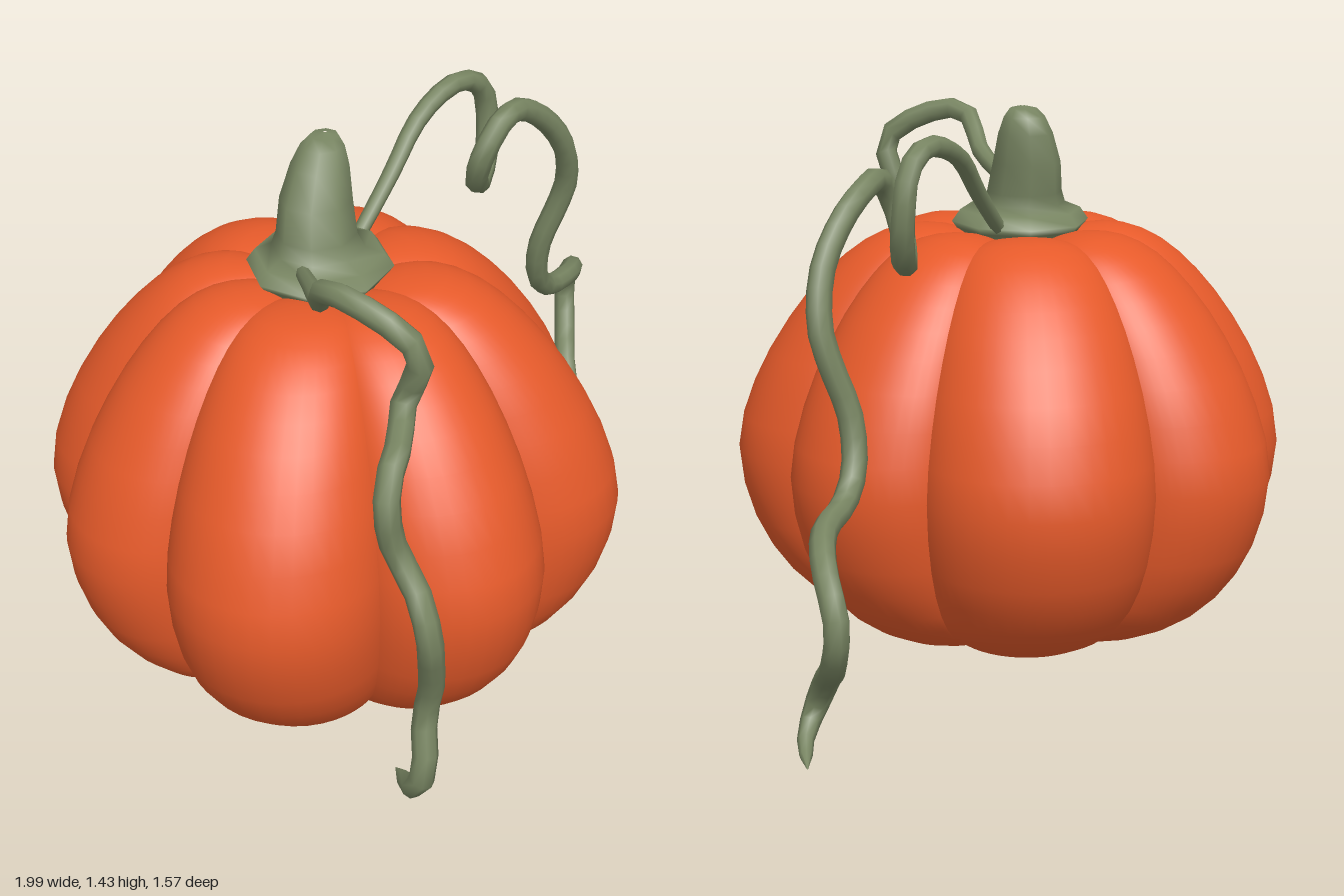
import * as THREE from 'three';
import { ParametricGeometry } from 'three/addons/geometries/ParametricGeometry.js';

const CX = -0.29, CZ = -0.05; // pumpkin axis
const skin = new THREE.MeshStandardMaterial({ color: 0xe65a2a });
const green = new THREE.MeshStandardMaterial({ color: 0x788562 });

function addMesh(parent, name, geometry, material) {
  const mesh = new THREE.Mesh(geometry, material);
  mesh.name = name;
  parent.add(mesh);
}

// Middle profile of a lobe, radius and height, from top to bottom
const profile = new THREE.SplineCurve([
  [0.005, 1.06], [0.1, 1.09], [0.2, 1.112], [0.3, 1.107], [0.4, 1.065], [0.5, 0.98], [0.6, 0.855],
  [0.69, 0.69], [0.735, 0.51], [0.695, 0.32], [0.605, 0.175], [0.485, 0.08], [0.335, 0.022],
  [0.2, 0.005], [0.13, 0.03], [0.09, 0.1], [0.005, 0.14],
].map(([r, y]) => new THREE.Vector2(r, y)));

// One lobe between two creases: round in plan, sinking towards the creases
function lobeGeometry(start, end, size) {
  const mid = (start + end) / 2, half = (end - start) / 2;
  const p = new THREE.Vector2();
  return new ParametricGeometry((u, v, target) => {
    const s = Math.sin(1.35 * (2 * u - 1)) / Math.sin(1.35);
    const a = s * Math.PI / 8;
    const plan = (0.495 * Math.cos(a) + Math.sqrt(0.0576 - (0.495 * Math.sin(a)) ** 2)) / 0.735;
    profile.getPoint(v, p);
    // Creases are deepest at the waist and shallow towards the poles
    const sink = (1 - plan) * 0.88 * (0.25 + 0.75 * p.x / 0.735);
    const r = p.x * (1 - sink) * (1 + (size - 1) * (1 - s * s));
    const y = 0.55 + (p.y - 0.55) * (1 - (1 - plan) * 0.14);
    const angle = mid + s * half;
    target.set(CX + r * Math.cos(angle), y, CZ + r * Math.sin(angle));
  }, 18, 32);
}

// Stem rings from tip to foot: radius, x, y, z
const stemRings = [
  [0.004, -0.23, 1.435, -0.1], [0.035, -0.233, 1.428, -0.1], [0.054, -0.24, 1.405, -0.1],
  [0.072, -0.255, 1.36, -0.095], [0.09, -0.28, 1.28, -0.085], [0.1, -0.295, 1.2, -0.07],
  [0.115, -0.3, 1.17, -0.06], [0.16, -0.3, 1.153, -0.055], [0.182, -0.3, 1.122, -0.055],
  [0.17, -0.3, 1.105, -0.055], [0.15, -0.3, 1.07, -0.055],
];

function stemGeometry() {
  const last = stemRings.length - 1;
  return new ParametricGeometry((u, v, target) => {
    const i = Math.min(Math.floor(v * last + 1e-6), last - 1), f = v * last - i;
    const [r, x, y, z] = stemRings[i].map((n, k) => n + (stemRings[i + 1][k] - n) * f);
    const a = u * Math.PI * 2 + 0.1;
    target.set(x + r * Math.cos(a), y, z + r * Math.sin(a));
  }, 8, last);
}

// Tube along a curve, thin at the stem and tapering to the tip
function vineGeometry(points, radius, segments) {
  const curve = new THREE.CatmullRomCurve3(points.map((p) => new THREE.Vector3(...p)));
  const sides = 8;
  const geometry = new THREE.TubeGeometry(curve, segments, radius, sides, false);
  const pos = geometry.attributes.position, v = new THREE.Vector3();
  for (let i = 0; i <= segments; i++) {
    const t = i / segments, centre = curve.getPointAt(t);
    const scale = i === segments ? 0.02
      : Math.min(1, 0.6 + t * 1.5, 0.35 + (1 - t) * 9);
    for (let j = 0; j <= sides; j++) {
      const k = i * (sides + 1) + j;
      v.fromBufferAttribute(pos, k).sub(centre).multiplyScalar(scale).add(centre);
      pos.setXYZ(k, v.x, v.y, v.z);
    }
  }
  geometry.computeVertexNormals();
  // Match normals along the tube seam
  const nor = geometry.attributes.normal, w = new THREE.Vector3();
  for (let i = 0; i <= segments; i++) {
    const a = i * (sides + 1), b = a + sides;
    v.fromBufferAttribute(nor, a).add(w.fromBufferAttribute(nor, b)).normalize();
    nor.setXYZ(a, v.x, v.y, v.z);
    nor.setXYZ(b, v.x, v.y, v.z);
  }
  return geometry;
}

const leftVine = [
  [-0.17, 1.11, -0.075], [-0.1, 1.165, -0.085], [0, 1.25, -0.1], [0.1, 1.335, -0.12],
  [0.2, 1.38, -0.13], [0.28, 1.39, -0.13], [0.36, 1.345, -0.135], [0.385, 1.25, -0.135],
  [0.36, 1.15, -0.115], [0.3, 1.105, -0.085], [0.245, 1.17, -0.04], [0.245, 1.25, -0.01],
  [0.3, 1.305, -0.01], [0.4, 1.3, -0.035], [0.5, 1.235, -0.035], [0.58, 1.13, -0.035],
  [0.625, 1, -0.06], [0.615, 0.9, -0.09], [0.595, 0.8, -0.12], [0.615, 0.68, -0.145],
  [0.68, 0.61, -0.16], [0.8, 0.585, -0.19], [0.9, 0.545, -0.255], [0.965, 0.43, -0.335],
  [0.93, 0.32, -0.3], [0.845, 0.24, -0.22], [0.825, 0.16, -0.175], [0.88, 0.105, -0.185],
  [0.965, 0.072, -0.25],
];
const rightVine = [
  [-0.4, 1.15, -0.01], [-0.5, 1.205, 0.13], [-0.58, 1.25, 0.24], [-0.645, 1.335, 0.32],
  [-0.65, 1.35, 0.38], [-0.615, 1.31, 0.5], [-0.585, 1.25, 0.56], [-0.575, 1.17, 0.535],
  [-0.585, 1.1, 0.51], [-0.66, 1.06, 0.57], [-0.755, 1.03, 0.63], [-0.775, 0.97, 0.645],
  [-0.75, 0.85, 0.645], [-0.745, 0.78, 0.7], [-0.765, 0.7, 0.76], [-0.74, 0.6, 0.745],
  [-0.7, 0.45, 0.705], [-0.705, 0.38, 0.69], [-0.74, 0.26, 0.725], [-0.745, 0.19, 0.7],
  [-0.685, 0.135, 0.575],
];

export function createModel() {
  const model = new THREE.Group();
  model.name = 'pumpkin';

  // Body: eight uneven lobes, given by crease angles and relative size
  const body = new THREE.Group();
  body.name = 'body';
  const creases = [-65, -10, 35, 78.5, 123, 173, 213, 249.5, 295];
  const sizes = [1, 0.975, 1.015, 1.02, 1.03, 0.98, 0.98, 1];
  sizes.forEach((size, i) => {
    const [start, end] = [creases[i], creases[i + 1]].map(THREE.MathUtils.degToRad);
    addMesh(body, 'lobe' + (i + 1), lobeGeometry(start, end, size), skin);
  });
  model.add(body);

  addMesh(model, 'stem', stemGeometry(), green);
  addMesh(model, 'leftVine', vineGeometry(leftVine, 0.031, 60), green);
  addMesh(model, 'rightVine', vineGeometry(rightVine, 0.031, 34), green);
  return model;
}
